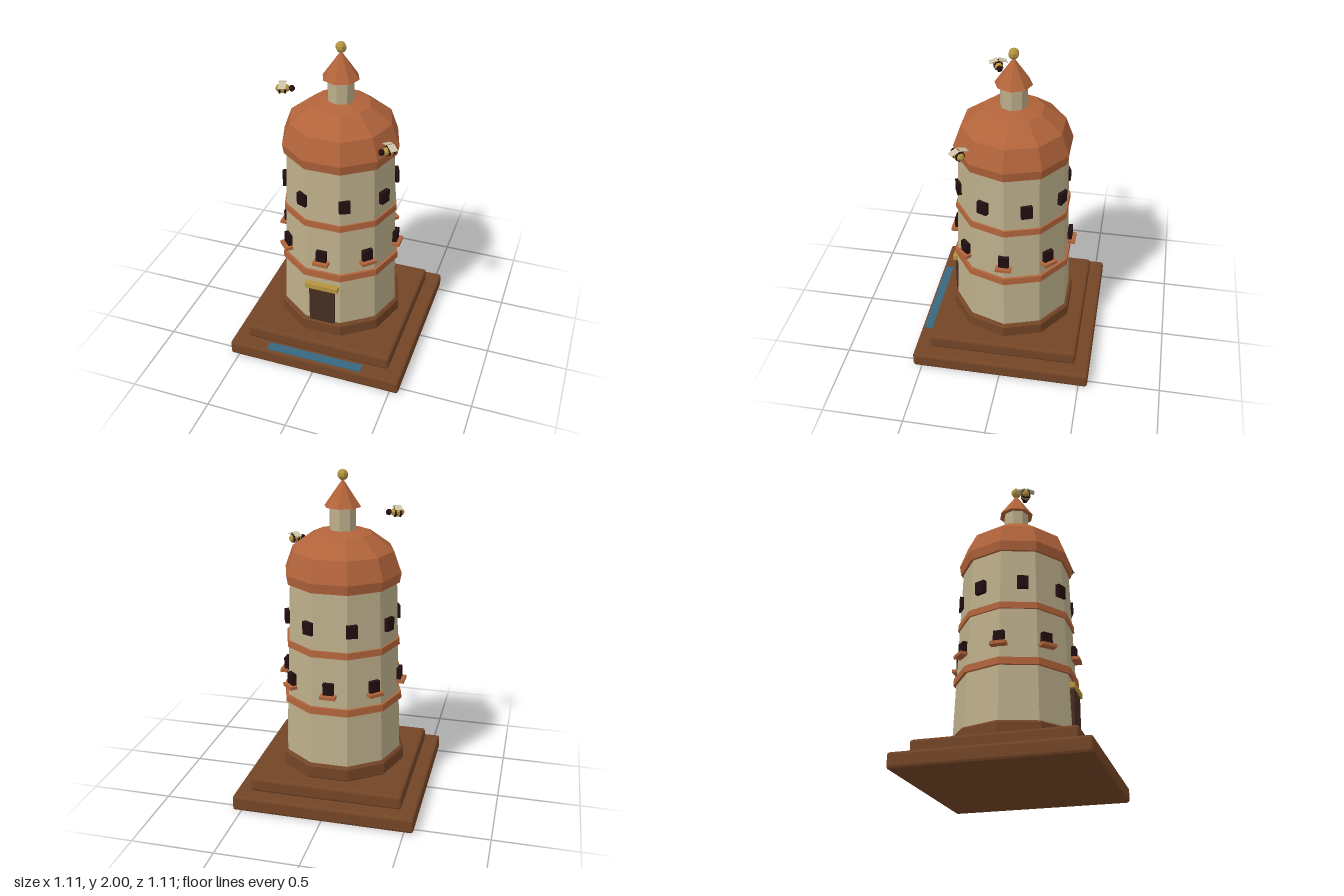
import * as THREE from 'three';
import { RoundedBoxGeometry } from 'three/addons/geometries/RoundedBoxGeometry.js';

const mat = (name, color, extra = {}) =>
  new THREE.MeshStandardMaterial({ name, color, flatShading: true, ...extra });

export function createModel() {
  const stone = mat('stone', 0xbcae8a);
  const clay = mat('terracotta', 0xb2643b);
  const wood = mat('brown wood', 0x734526);
  const doorWood = mat('door wood', 0x452d22);
  const dark = mat('dark', 0x220e11);
  const gold = mat('gold', 0xb6943f);
  const blue = mat('blue', 0x38687f);
  const wingMat = mat('wing', 0xcbc3a6, { side: THREE.DoubleSide });

  const model = new THREE.Group();
  model.name = 'tower';

  const add = (name, geometry, material, x = 0, y = 0, z = 0, parent = model) => {
    const mesh = new THREE.Mesh(geometry, material);
    mesh.name = name;
    mesh.position.set(x, y, z);
    parent.add(mesh);
    return mesh;
  };
  // Ten-sided turned part with a flat face to the front
  const turned = (name, points, material) => {
    const g = new THREE.LatheGeometry(points.map(([r, y]) => new THREE.Vector2(r, y)), 10);
    add(name, g, material).rotation.y = Math.PI / 10;
  };

  // Stepped square base
  add('lowerSlab', new RoundedBoxGeometry(1.11, 0.094, 1.11, 1, 0.016), wood, 0, 0.047, 0);
  add('upperSlab', new RoundedBoxGeometry(0.932, 0.09, 0.932, 1, 0.016), wood, 0, 0.137, 0);
  add('frontPanel', new THREE.BoxGeometry(0.614, 0.009, 0.06), blue, 0, 0.095, 0.51);

  // Tower body
  turned('plinth', [[0, 0.18], [0.38, 0.18], [0.392, 0.192], [0.392, 0.262], [0.38, 0.275], [0, 0.275]], wood);
  turned('wall', [[0.368, 0.27], [0.33, 1.36]], stone);
  turned('lowerBand', [[0.34, 0.605], [0.373, 0.605], [0.371, 0.648], [0.34, 0.648]], clay);
  turned('upperBand', [[0.33, 0.96], [0.355, 0.96], [0.353, 1.0], [0.33, 1.0]], clay);
  turned('eave', [[0, 1.347], [0.346, 1.347], [0.356, 1.405]], clay);

  // Faceted dome
  const dome = [];
  for (let i = 0; i <= 3; i++) {
    const a = (i * Math.PI) / 6;
    dome.push([i === 3 ? 0 : 0.356 * Math.cos(a), 1.405 + 0.26 * Math.sin(a)]);
  }
  turned('dome', dome, clay);

  // Lantern, spire and finial
  add('lantern', new THREE.CylinderGeometry(0.08, 0.08, 0.14, 8), stone, 0, 1.72, 0);
  add('spire', new THREE.ConeGeometry(0.11, 0.16, 8), clay, 0, 1.865, 0);
  add('finial', new THREE.SphereGeometry(0.033, 6, 5), gold, 0, 1.967, 0);

  // Door and lintel
  add('door', new THREE.BoxGeometry(0.16, 0.255, 0.04), doorWood, 0, 0.4, 0.346);
  add('lintel', new THREE.BoxGeometry(0.208, 0.032, 0.05), gold, 0, 0.542, 0.351);

  // Two rings of eight windows, the lower ones with sills
  for (let i = 0; i < 8; i++) {
    const lower = new THREE.Group();
    lower.name = 'lowerWindow';
    lower.rotation.y = (i * Math.PI) / 4;
    add('pane', new THREE.BoxGeometry(0.064, 0.076, 0.026), dark, 0, 0.773, 0.357, lower);
    add('sill', new THREE.BoxGeometry(0.095, 0.02, 0.045), clay, 0, 0.73, 0.37, lower);
    model.add(lower);

    const upper = new THREE.Group();
    upper.name = 'upperWindow';
    upper.rotation.y = ((i + 0.5) * Math.PI) / 4;
    add('pane', new THREE.BoxGeometry(0.066, 0.078, 0.026), dark, 0, 1.128, 0.338, upper);
    model.add(upper);
  }

  // Bees, built with the head toward +x
  const bee = (x, y, z, yaw) => {
    const g = new THREE.Group();
    g.name = 'bee';
    g.position.set(x, y, z);
    g.rotation.y = yaw;
    add('body', new THREE.SphereGeometry(0.03, 7, 5).rotateZ(Math.PI / 2).scale(1.4, 1, 1), gold, 0, 0, 0, g);
    for (const s of [-0.016, 0.014]) {
      add('stripe', new THREE.CylinderGeometry(0.03, 0.03, 0.011, 7).rotateZ(Math.PI / 2), dark, s, 0, 0, g);
    }
    add('head', new THREE.SphereGeometry(0.019, 6, 5), dark, 0.052, 0, 0, g);
    for (const s of [-1, 1]) {
      const wing = add('wing', new THREE.BoxGeometry(0.042, 0.004, 0.052), wingMat, 0, 0.029, s * 0.029, g);
      wing.rotation.x = s * 0.35;
    }
    model.add(g);
  };
  bee(-0.297, 1.735, 0.145, 0.34);
  bee(0.367, 1.513, 0.243, Math.PI + 0.75);

  return model;
}
